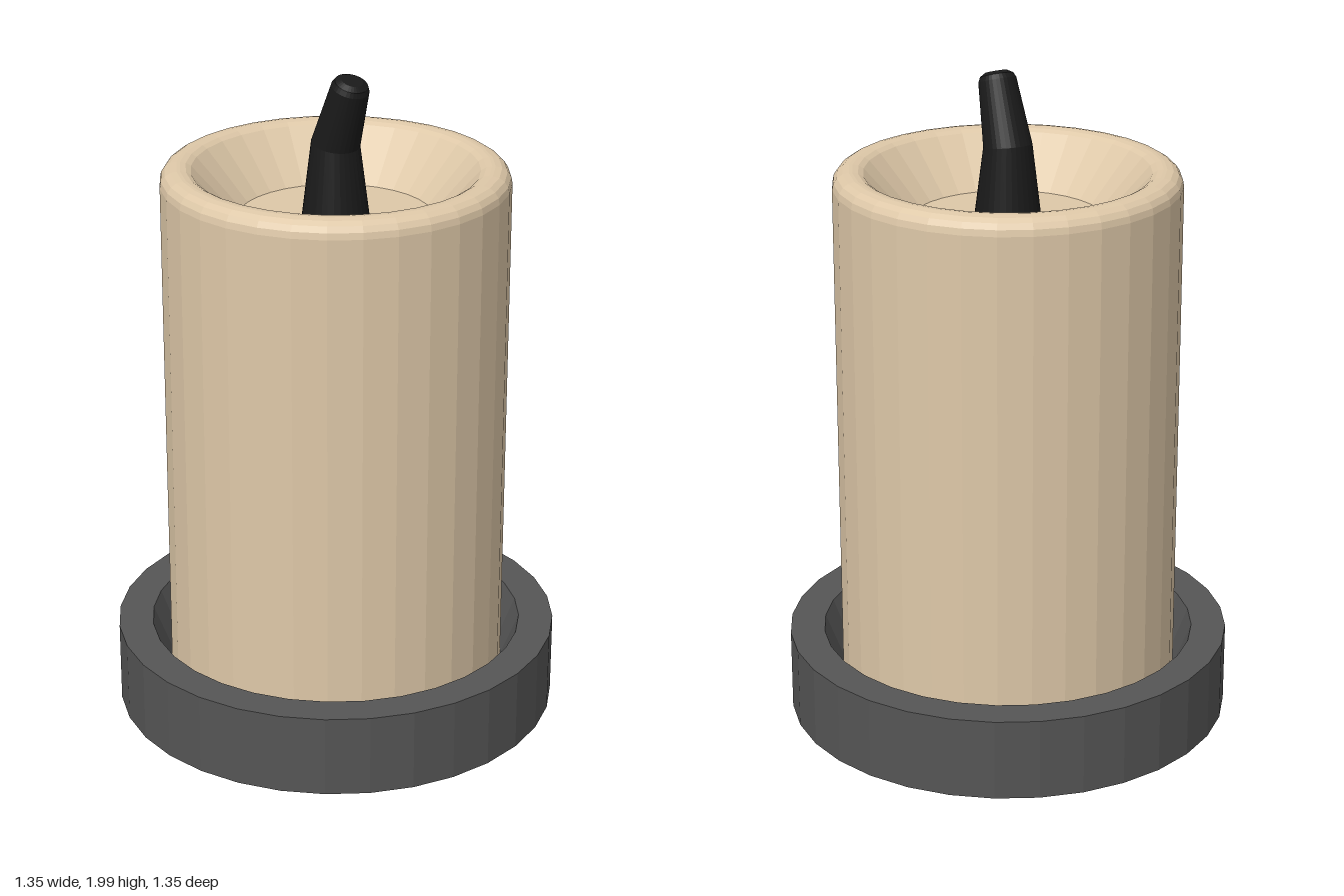
import * as THREE from 'three';

const SIDES = 32;

// Flat-shaded turned part from [radius, height] pairs, listed from the bottom outwards and up
function turned(name, color, profile) {
  const geometry = new THREE.LatheGeometry(profile.map(([r, y]) => new THREE.Vector2(r, y)), SIDES);
  const mesh = new THREE.Mesh(geometry, new THREE.MeshStandardMaterial({ color, flatShading: true }));
  mesh.name = name;
  return mesh;
}

// Points on a quarter-round edge from angle a to angle b
function arc(cx, cy, r, a, b, steps) {
  return Array.from({ length: steps + 1 }, (_, i) => {
    const t = a + ((b - a) * i) / steps;
    return [cx + r * Math.cos(t), cy + r * Math.sin(t)];
  });
}

// Bends a turned part: everything above the pivot height leans over
function bend(geometry, pivotY, leanX, leanZ) {
  const pos = geometry.attributes.position;
  const p = new THREE.Vector3();
  for (let i = 0; i < pos.count; i++) {
    p.fromBufferAttribute(pos, i);
    const rise = p.y - pivotY;
    if (rise < -0.001) continue;
    // the ring at the pivot takes half the lean, to mitre the joint
    const share = rise < 0.001 ? 0.5 : 1;
    p.y = rise;
    p.applyEuler(new THREE.Euler(leanZ * share, 0, -leanX * share));
    p.y += pivotY;
    pos.setXYZ(i, p.x, p.y, p.z);
  }
  geometry.computeVertexNormals();
}

export function createModel() {
  const group = new THREE.Group();
  group.name = 'candle';

  // Shallow dish with a sloping inner wall
  group.add(turned('dish', 0x555555, [
    [0, 0], [0.675, 0], [0.675, 0.25], [0.57, 0.25], [0.51, 0.1], [0, 0.1],
  ]));

  // Wax body: rounded rim and a sunken pool at the top
  group.add(turned('wax', 0xdec8a8, [
    [0, 0.1], [0.515, 0.1],
    ...arc(0.465, 1.665, 0.05, 0, Math.PI / 2, 4),
    ...arc(0.455, 1.665, 0.05, Math.PI / 2, Math.PI * 0.72, 2),
    [0.29, 1.555], [0, 1.555],
  ]));

  // Tapered, bent wick with a blunt tip
  const wick = turned('wick', 0x1a1a1a, [
    [0, 1.54], [0.1, 1.54], [0.1, 1.555], [0.072, 1.78],
    [0.056, 1.972], [0.049, 1.987], [0.032, 1.997], [0, 1.997],
  ]);
  bend(wick.geometry, 1.78, 0.34, 0.09);
  group.add(wick);

  return group;
}
